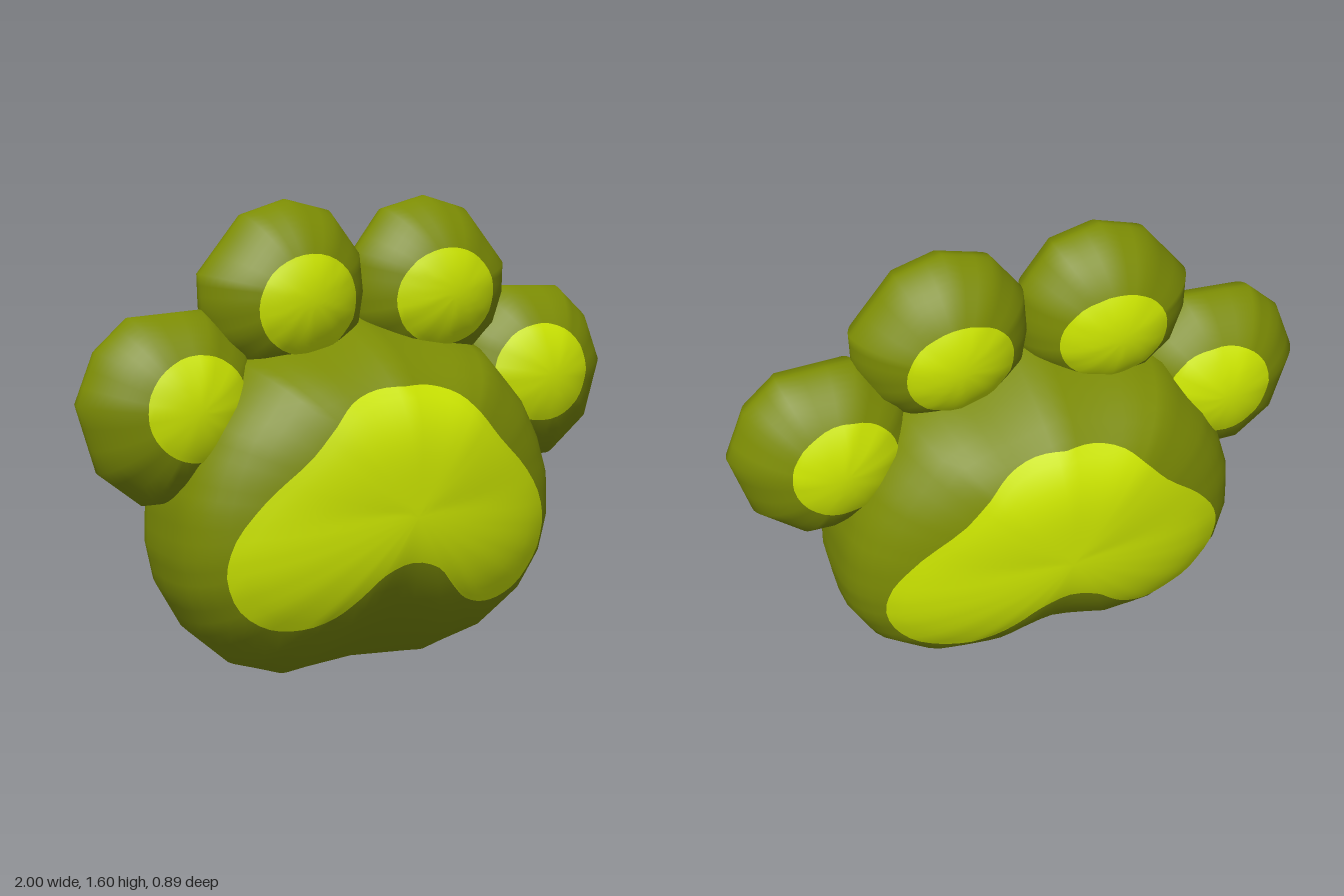
import * as THREE from 'three';
import { mergeVertices } from 'three/addons/utils/BufferGeometryUtils.js';

const V = (x, y) => new THREE.Vector2(x, y);

// Split every edge of a closed outline and make it run counterclockwise
function refine(points, parts) {
  const list = THREE.ShapeUtils.isClockWise(points) ? [...points].reverse() : points;
  return list.flatMap((p, i) => {
    const next = list[(i + 1) % list.length];
    return Array.from({ length: parts }, (_, k) => p.clone().lerp(next, k / parts));
  });
}

// Skin a list of rings of equal length, from the centre outwards
function skin(rings, flip = false) {
  const n = rings[0].length, index = [];
  for (let k = 0; k < rings.length - 1; k++) {
    for (let j = 0; j < n; j++) {
      const j1 = (j + 1) % n;
      const a = k * n + j, b = k * n + j1, c = (k + 1) * n + j1, d = (k + 1) * n + j;
      if (flip) index.push(a, c, d, a, b, c);
      else index.push(a, d, c, a, c, b);
    }
  }
  const geo = new THREE.BufferGeometry();
  geo.setAttribute('position', new THREE.Float32BufferAttribute(rings.flat(2), 3));
  geo.setIndex(index);
  const merged = mergeVertices(geo, 1e-4);
  merged.computeVertexNormals();
  return merged;
}

// A cushion: outline in x/y, bulging to +-depth in z by a superellipse rule
function cushion(points, centre, depth, exponents) {
  const outline = refine(points, 3);
  const spokes = outline.map((o) => o.clone().sub(centre));
  const bulge = (s, d) => {
    const [p, q] = exponents(d.y / (d.length() || 1));
    return depth * Math.pow(Math.max(0, 1 - Math.pow(s, p)), 1 / q);
  };
  // Height of the surface above any point inside the outline
  const height = (x, y) => {
    const d = V(x, y).sub(centre);
    let s = 0;
    spokes.forEach((a, i) => {
      const b = spokes[(i + 1) % spokes.length], area = a.cross(b);
      const alpha = d.cross(b) / area, beta = a.cross(d) / area;
      if (alpha >= -1e-6 && beta >= -1e-6) s = alpha + beta;
    });
    return bulge(THREE.MathUtils.clamp(s, 0, 1), d);
  };
  const steps = 28, rings = [];
  for (let k = 0; k <= steps; k++) {
    const s = k === steps / 2 ? 1 : Math.sin((k / steps) * Math.PI);
    const side = Math.sign(steps / 2 - k);
    rings.push(spokes.map((d) => [centre.x + d.x * s, centre.y + d.y * s, side * bulge(s, d)]));
  }
  return { geometry: skin(rings), height };
}

// A thin coloured patch lying on a cushion
function patch(outline, centre, height, side) {
  const rings = [];
  for (let k = 0; k <= 12; k++) {
    rings.push(outline.map((o) => {
      const p = centre.clone().lerp(o, k / 12);
      return [p.x, p.y, side * (height(p.x, p.y) + 0.005)];
    }));
  }
  return skin(rings, side < 0);
}

export function createModel() {
  const group = new THREE.Group();
  const fur = new THREE.MeshStandardMaterial({ color: 0x7c8c04 });
  fur.name = 'olive';
  const padColour = new THREE.MeshStandardMaterial({ color: 0xd0ea00 });
  padColour.name = 'lime';
  const add = (name, geometry, material) => {
    const mesh = new THREE.Mesh(geometry, material);
    mesh.name = name;
    group.add(mesh);
  };
  const addPads = (name, outline, centre, height) => {
    add(name + 'Front', patch(outline, centre, height, 1), padColour);
    add(name + 'Back', patch(outline, centre, height, -1), padColour);
  };
  // Half an outline, top to bottom, mirrored about x = cx
  const mirrored = (half, cx) => [
    ...half.map(([x, y]) => V(cx + x, y)),
    ...half.slice(1, -1).reverse().map(([x, y]) => V(cx - x, y)),
  ];

  // Palm: blunt at the sides, tapering to a thin edge above and below
  const cx = -0.018, palmCentre = V(cx, 0.62);
  const palm = cushion(mirrored([
    [0, 1.21], [0.18, 1.165], [0.33, 1.135], [0.455, 1.09], [0.595, 0.915], [0.66, 0.78],
    [0.7, 0.645], [0.712, 0.48], [0.69, 0.345], [0.615, 0.2], [0.47, 0.07], [0.275, 0], [0, 0.02],
  ], cx), palmCentre, 0.438, (c) => {
    const w = Math.pow(Math.abs(c), 1.4), [p, q] = c > 0 ? [4, 1.1] : [2.2, 1];
    return [1.6 * (1 - w) + p * w, 3.4 * (1 - w) + q * w];
  });
  add('palm', palm.geometry, fur);

  // Palm pads on both faces
  const padPoints = mirrored([
    [0, 1.015], [0.1, 1.01], [0.2, 0.975], [0.27, 0.91], [0.35, 0.82], [0.49, 0.69], [0.58, 0.56],
    [0.6, 0.44], [0.55, 0.32], [0.45, 0.25], [0.35, 0.242], [0.25, 0.275], [0.175, 0.34],
    [0.1, 0.415], [0, 0.445],
  ], cx);
  const padCurve = new THREE.CatmullRomCurve3(padPoints.map((p) => new THREE.Vector3(p.x, p.y, 0)), true);
  const padOutline = padCurve.getPoints(84).slice(0, -1).map((p) => V(p.x, p.y)).reverse();
  addPads('palmPad', padOutline, V(cx, 0.6), palm.height);

  // Toes, given for the +x side and mirrored
  const toes = [
    {
      name: 'InnerToe', centre: [0.28, 1.3], pad: [0.26, 1.27, 0.182, 0.165], rise: 0,
      outline: [[0.265, 1.6], [0.42, 1.555], [0.575, 1.37], [0.572, 1.26], [0.53, 1.14], [0.43, 1.05],
        [0.26, 1.01], [0.1, 1.07], [0, 1.18], [-0.018, 1.29], [-0.004, 1.42], [0.105, 1.56]],
    },
    {
      name: 'OuterToe', centre: [0.68, 0.955], pad: [0.652, 0.965, 0.18, 0.17], rise: 0.022,
      outline: [[1, 0.98], [0.933, 1.145], [0.82, 1.245], [0.57, 1.257], [0.42, 1.13], [0.37, 0.97],
        [0.42, 0.8], [0.53, 0.69], [0.69, 0.637], [0.787, 0.638], [0.935, 0.757]],
    },
  ];
  for (const side of [1, -1]) {
    for (const toe of toes) {
      const lift = side > 0 ? toe.rise : 0;
      const at = ([x, y]) => V(side * x, y + lift);
      const body = cushion(toe.outline.map(at), at(toe.centre), 0.21, () => [2, 1.55]);
      const name = (side > 0 ? 'left' : 'right') + toe.name;
      add(name, body.geometry, fur);
      const [px, py, rx, ry] = toe.pad, mid = at([px, py]);
      const ring = Array.from({ length: 36 }, (_, i) => {
        const a = (i / 36) * Math.PI * 2;
        return V(mid.x + rx * Math.cos(a), mid.y + ry * Math.sin(a));
      });
      addPads(name + 'Pad', ring, mid, body.height);
    }
  }
  return group;
}
